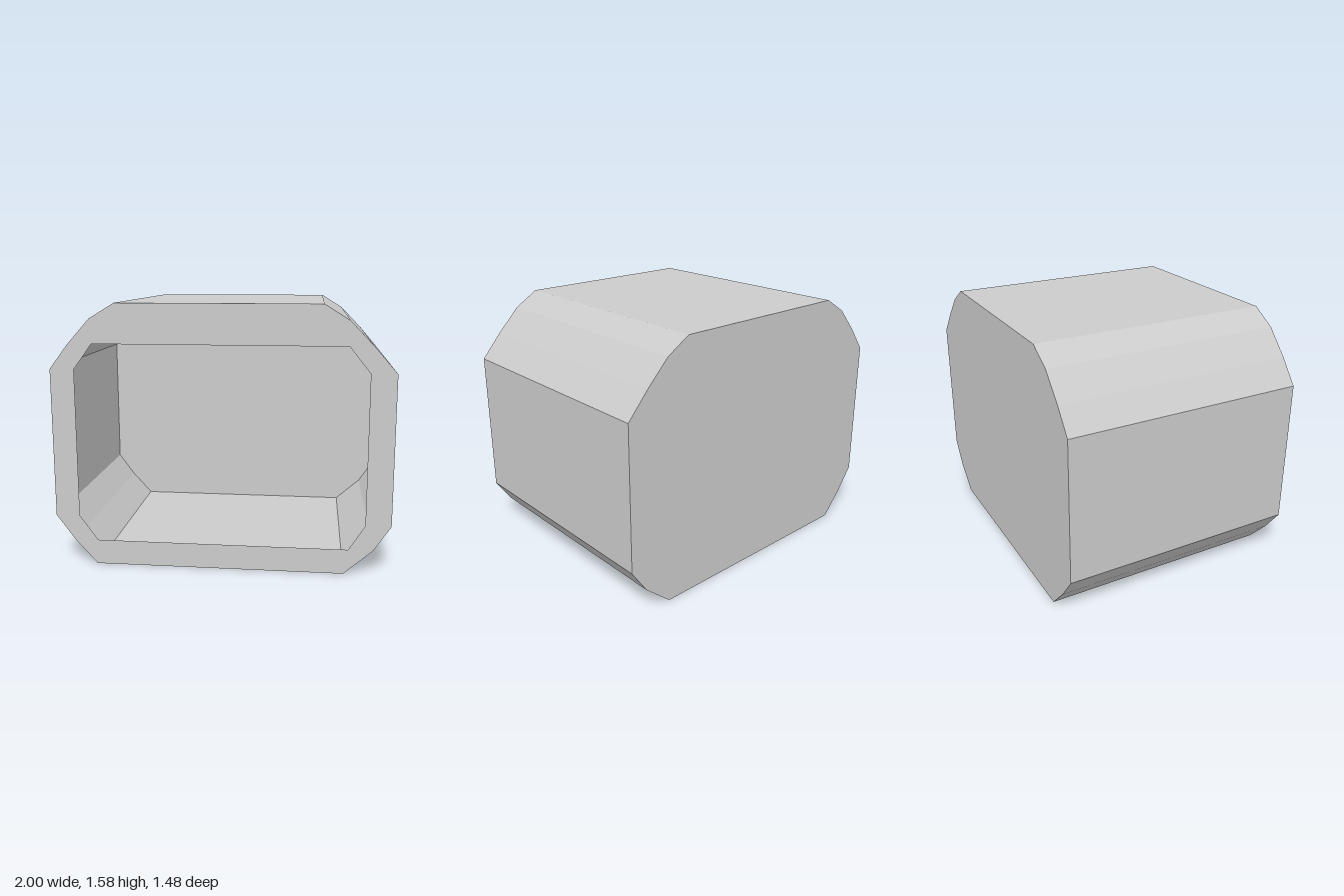
import * as THREE from 'three';

const HALF_DEPTH = 0.74;

// Outer outline of the shell, counter-clockwise seen from the front
const outline = [
  [-0.755, 0], [0.73, 0], [0.9, 0.15], [1, 0.3], [1, 1.19], [0.87, 1.34], [0.73, 1.485],
  [0.585, 1.575], [-0.605, 1.575], [-0.755, 1.485], [-0.89, 1.335], [-1, 1.19], [-1, 0.3], [-0.89, 0.15],
].map(([x, y]) => new THREE.Vector2(x, y));

// Outline of the front opening
const opening = [
  [-0.745, 0.15], [0.755, 0.15], [0.85, 0.3], [0.85, 1.19],
  [0.73, 1.34], [-0.745, 1.34], [-0.855, 1.19], [-0.855, 0.3],
].map(([x, y]) => new THREE.Vector2(x, y));

// Open tube: one flat quad per outline edge
function wallGeometry(points, halfDepth) {
  const positions = [];
  points.forEach((a, i) => {
    const b = points[(i + 1) % points.length];
    const af = [a.x, a.y, halfDepth], ab = [a.x, a.y, -halfDepth];
    const bf = [b.x, b.y, halfDepth], bb = [b.x, b.y, -halfDepth];
    positions.push(...af, ...ab, ...bb, ...af, ...bb, ...bf);
  });
  const geometry = new THREE.BufferGeometry();
  geometry.setAttribute('position', new THREE.Float32BufferAttribute(positions, 3));
  geometry.computeVertexNormals();
  return geometry;
}

export function createModel() {
  const group = new THREE.Group();
  group.name = 'hollowShell';
  const material = new THREE.MeshStandardMaterial({
    color: 0xcccccc, flatShading: true, side: THREE.DoubleSide,
  });
  const add = (name, geometry) => {
    const mesh = new THREE.Mesh(geometry, material);
    mesh.name = name;
    group.add(mesh);
  };

  // Thin walls running front to back
  add('walls', wallGeometry(outline, HALF_DEPTH));

  // Front rim around the opening
  const rim = new THREE.Shape(outline);
  rim.holes.push(new THREE.Path(opening));
  add('frontRim', new THREE.ShapeGeometry(rim).translate(0, 0, HALF_DEPTH));

  // Closed back panel, turned to face -z
  const mirrored = new THREE.Shape(outline.map((p) => new THREE.Vector2(-p.x, p.y)).reverse());
  add('backPanel', new THREE.ShapeGeometry(mirrored).rotateY(Math.PI).translate(0, 0, -HALF_DEPTH));

  return group;
}
